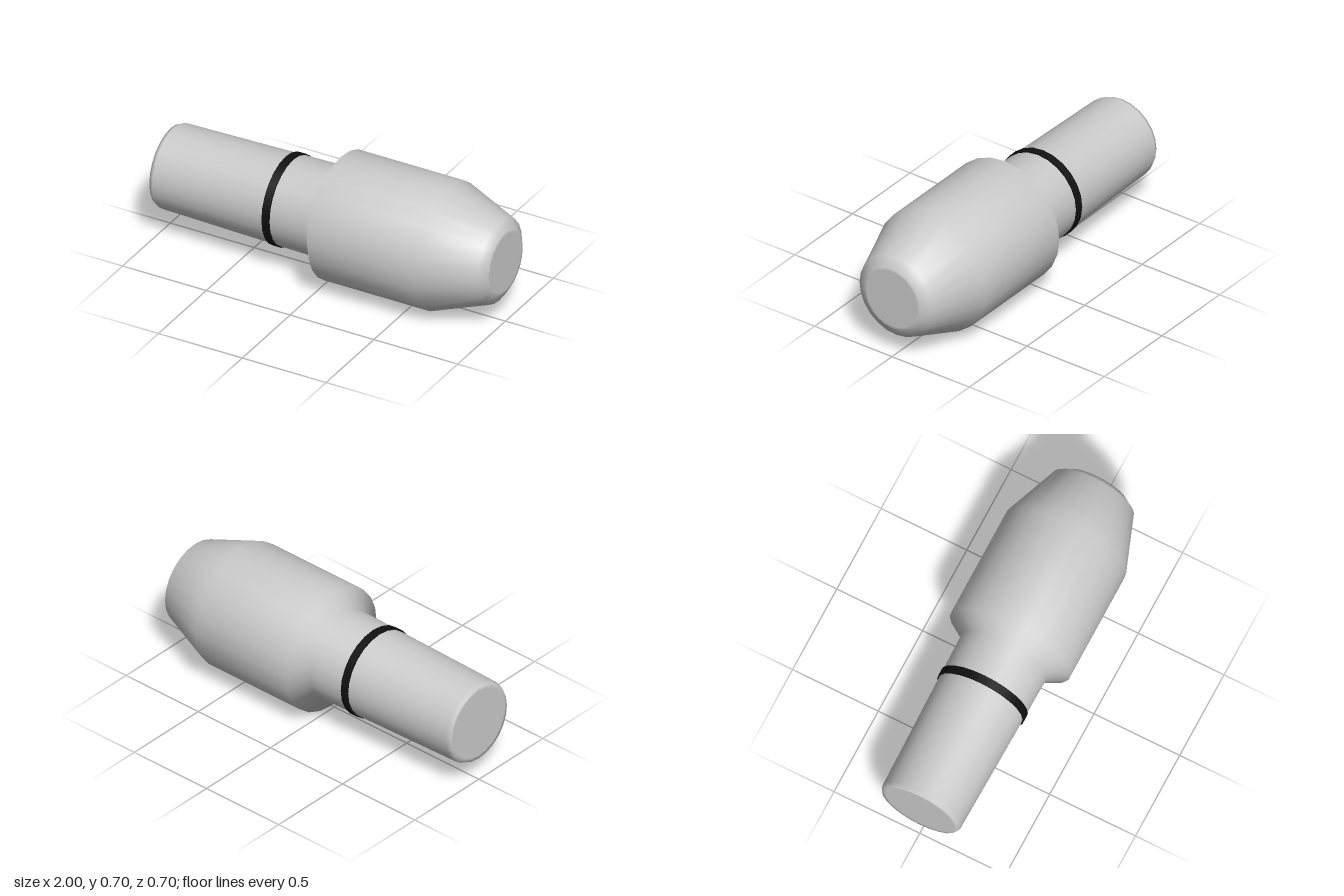
import * as THREE from 'three';

const SIDES = 24;
const AXIS_Y = 0.352;

// Turned profile as [x along the axis, radius], from the tail to the nose
const PROFILE = [
  [-1, 0], [-1, 0.2], [-1, 0.22], [-0.975, 0.232],
  [-0.05, 0.25],
  [0.02, 0.352], [0.65, 0.352],
  [0.965, 0.235], [1, 0.18], [1, 0.165], [1, 0],
];

export function createModel() {
  const group = new THREE.Group();

  // Places a part turned about y on the horizontal axis, y pointing to +x
  const addTurned = (name, geometry, color, x = 0) => {
    const mesh = new THREE.Mesh(
      geometry.rotateZ(-Math.PI / 2).translate(x, AXIS_Y, 0),
      new THREE.MeshStandardMaterial({ color })
    );
    mesh.name = name;
    group.add(mesh);
  };

  // Smooth body: tapered shank, shoulder, barrel and chamfered nose
  const points = PROFILE.map(([x, r]) => new THREE.Vector2(r, x));
  addTurned('body', new THREE.LatheGeometry(points, SIDES), 0xcccccc);

  // Dark band round the shank
  addTurned('band', new THREE.CylinderGeometry(0.253, 0.253, 0.045, SIDES), 0x111111, -0.29);

  return group;
}
